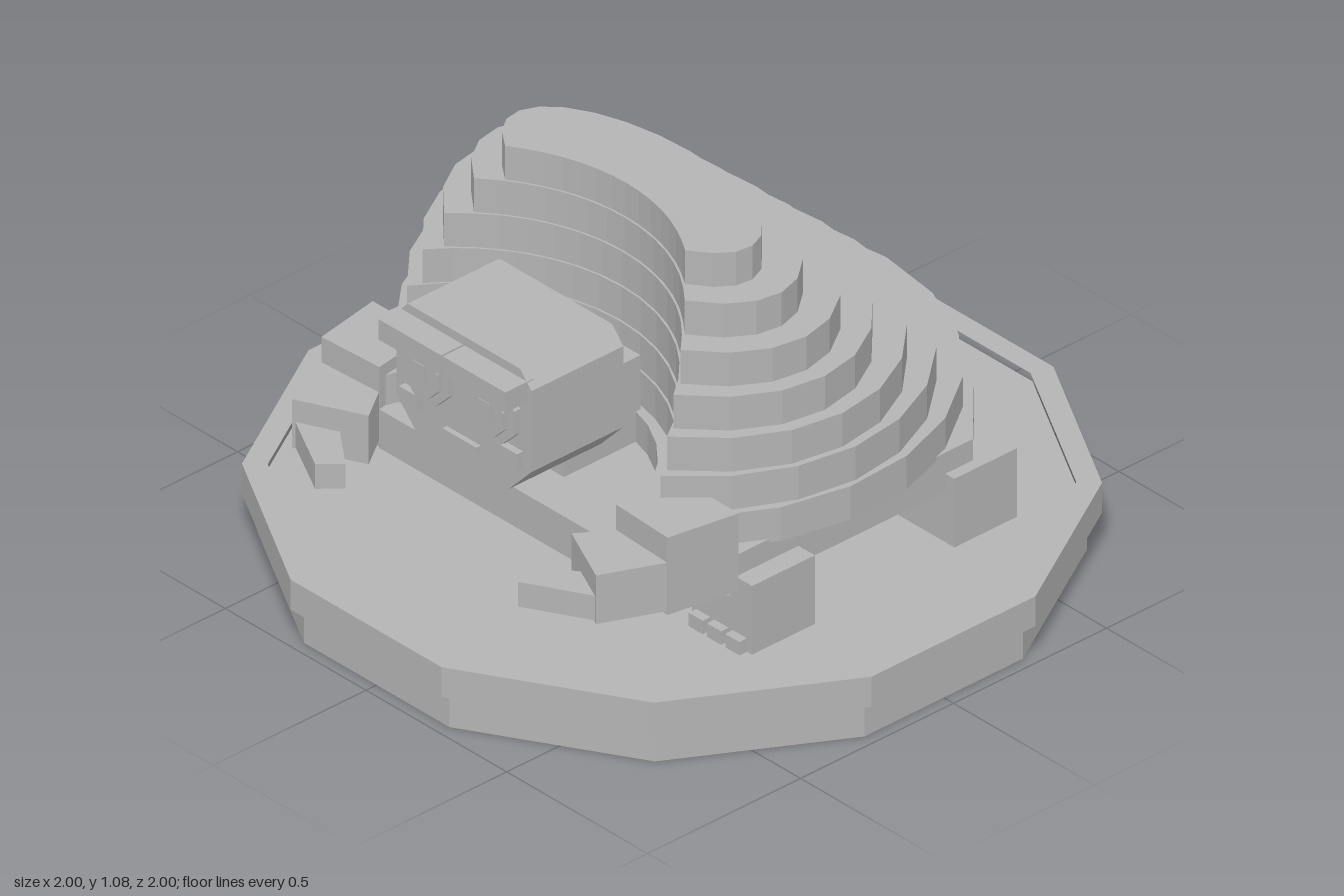
import * as THREE from 'three';
import { ConvexGeometry } from 'three/addons/geometries/ConvexGeometry.js';

const grey = new THREE.MeshStandardMaterial({ color: 0xb4b4b4, flatShading: true });
grey.name = 'stone grey';

export function createModel() {
  const model = new THREE.Group();
  model.name = 'turtleStatue';

  const add = (name, geometry) => {
    const mesh = new THREE.Mesh(geometry, grey);
    mesh.name = name;
    model.add(mesh);
    return mesh;
  };
  const box = (name, x0, x1, y0, y1, z0, z1) => {
    const g = new THREE.BoxGeometry(Math.abs(x1 - x0), y1 - y0, z1 - z0);
    return add(name, g.translate((x0 + x1) / 2, (y0 + y1) / 2, (z0 + z1) / 2));
  };
  const toShape = (pts) => new THREE.Shape(pts.map(([x, y]) => new THREE.Vector2(x, y)));
  // Horizontal slab from an (x, z) outline, with an optional hole
  const slab = (name, pts, y0, y1, hole) => {
    const shape = toShape(pts.map(([x, z]) => [x, -z]));
    if (hole) shape.holes.push(toShape(hole.map(([x, z]) => [x, -z])));
    const g = new THREE.ExtrudeGeometry(shape, { depth: y1 - y0, bevelEnabled: false });
    return add(name, g.rotateX(-Math.PI / 2).translate(0, y0, 0));
  };
  // Upright plate from an (x, y) outline
  const plate = (name, pts, z0, z1) => {
    const g = new THREE.ExtrudeGeometry(toShape(pts), { depth: z1 - z0, bevelEnabled: false });
    return add(name, g.translate(0, 0, z0));
  };
  // Regular polygon with flat sides facing the axes
  const polygon = (n, apothem) => Array.from({ length: n }, (_, i) => {
    const a = ((i + 0.5) / n) * Math.PI * 2;
    const r = apothem / Math.cos(Math.PI / n);
    return [r * Math.cos(a), r * Math.sin(a)];
  });

  // Twelve-sided pedestal with a shallow recess
  slab('pedestalFoot', polygon(12, 0.965), 0, 0.105);
  slab('pedestalFloor', polygon(12, 0.945), 0.105, 0.165);
  slab('pedestalRim', polygon(12, 1), 0.105, 0.19, polygon(12, 0.94));

  // Belly plate, poking out under the shell at its corners
  slab('bellyPlate', [
    [-0.42, 0.57], [-0.645, 0.4], [-0.645, -0.39], [-0.41, -0.61],
    [0.41, -0.61], [0.645, -0.39], [0.645, 0.4], [0.42, 0.57],
  ], 0.31, 0.42);

  // Crescent outline: an ellipse bitten by a circle at the front
  const crescent = (rx, rz, cz, biteZ, biteR) => {
    const at = (t) => [rx * Math.sin(t), cz + rz * Math.cos(t)];
    let t0 = 0;
    while (t0 < 2 && Math.hypot(at(t0)[0], at(t0)[1] - biteZ) < biteR) t0 += 0.005;
    const pts = [];
    for (let i = 0; i <= 18; i++) pts.push(at(t0 + (i / 18) * (Math.PI - t0) * 2));
    const [tx, tz] = pts[0];
    const half = Math.atan2(tx, biteZ - tz);
    for (let i = 1; i < 14; i++) {
      const a = half * (-1 + (2 * i) / 14);
      pts.push([biteR * Math.sin(a), biteZ - biteR * Math.cos(a)]);
    }
    return pts;
  };

  // Stepped shell layers, bottom to top: half width, half depth, centre z
  const layers = [
    [0.705, 0.7, 0], [0.69, 0.615, 0.02], [0.67, 0.54, 0.05], [0.63, 0.46, 0.08],
    [0.58, 0.375, 0.1], [0.505, 0.28, 0.115], [0.415, 0.19, 0.13],
  ];
  layers.forEach(([rx, rz, cz], i) => {
    const y = 0.41 + i * 0.0957;
    const bite = i === 0 ? [0.63, 0.43] : [0.7, 0.517 + i * 0.0055];
    slab('shellLayer' + (i + 1), crescent(rx, rz, cz, ...bite), y, y + 0.0957);
  });

  // Neck and chamfered head
  box('neck', -0.105, 0.105, 0.42, 0.66, 0.2, 0.45);
  plate('head', [
    [-0.16, 0.51], [0.16, 0.51], [0.24, 0.595], [0.24, 0.825],
    [0.2, 0.87], [-0.2, 0.87], [-0.24, 0.825], [-0.24, 0.595],
  ], 0.38, 0.68);
  box('mouth', -0.06, 0.06, 0.57, 0.587, 0.67, 0.695);

  // Tail, tilted up to a narrow tip
  const tail = [];
  for (const s of [-1, 1]) {
    tail.push([0.045, 0.285, -0.595], [0.045, 0.285, -0.645], [0.065, 0.312, -0.665], [0.02, 0.375, -0.755]);
    tail.slice(-4).forEach((p) => { p[0] *= s; });
  }
  add('tail', new ConvexGeometry(tail.map((p) => new THREE.Vector3(...p))));

  for (const s of [1, -1]) {
    const side = s > 0 ? 'left' : 'right';
    const mirror = (pts) => pts.map(([x, y]) => [x * s, y]);

    // Face details
    const cx = s * 0.117;
    const around = (r) => polygon(8, r).map(([x, y]) => [x + cx, y + 0.722]);
    plate(side + 'Eye', around(0.083), 0.67, 0.7);
    plate(side + 'Iris', around(0.06), 0.7, 0.715);
    box(side + 'Pupil', cx - 0.022, cx + 0.022, 0.715, 0.76, 0.71, 0.725);
    box(side + 'Glint', cx - 0.04, cx - 0.018, 0.752, 0.775, 0.71, 0.735);
    box(side + 'Brow', s * 0.003, s * 0.225, 0.787, 0.845, 0.66, 0.752);
    box(side + 'Cheek', s * 0.143, s * 0.21, 0.595, 0.64, 0.67, 0.7);

    // Arm in three blocks bending inward
    slab(side + 'Shoulder', mirror([[0.65, 0.38], [0.615, 0.58], [0.42, 0.57], [0.45, 0.38]]), 0.32, 0.54);
    slab(side + 'Forearm', mirror([[0.615, 0.575], [0.54, 0.745], [0.36, 0.66], [0.425, 0.565]]), 0.33, 0.468);
    slab(side + 'Hand', mirror([[0.535, 0.74], [0.36, 0.835], [0.312, 0.78], [0.43, 0.69]]), 0.335, 0.405);

    // Legs and front toes
    box(side + 'FrontLeg', s * 0.49, s * 0.703, 0.165, 0.36, 0.18, 0.385);
    box(side + 'RearLeg', s * 0.48, s * 0.677, 0.165, 0.36, -0.505, -0.3);
    for (let i = 0; i < 3; i++) {
      const x = 0.505 + i * 0.065;
      box(side + 'Toe' + (i + 1), s * x, s * (x + 0.05), 0.165, 0.203, 0.38, 0.41);
    }
  }
  return model;
}
